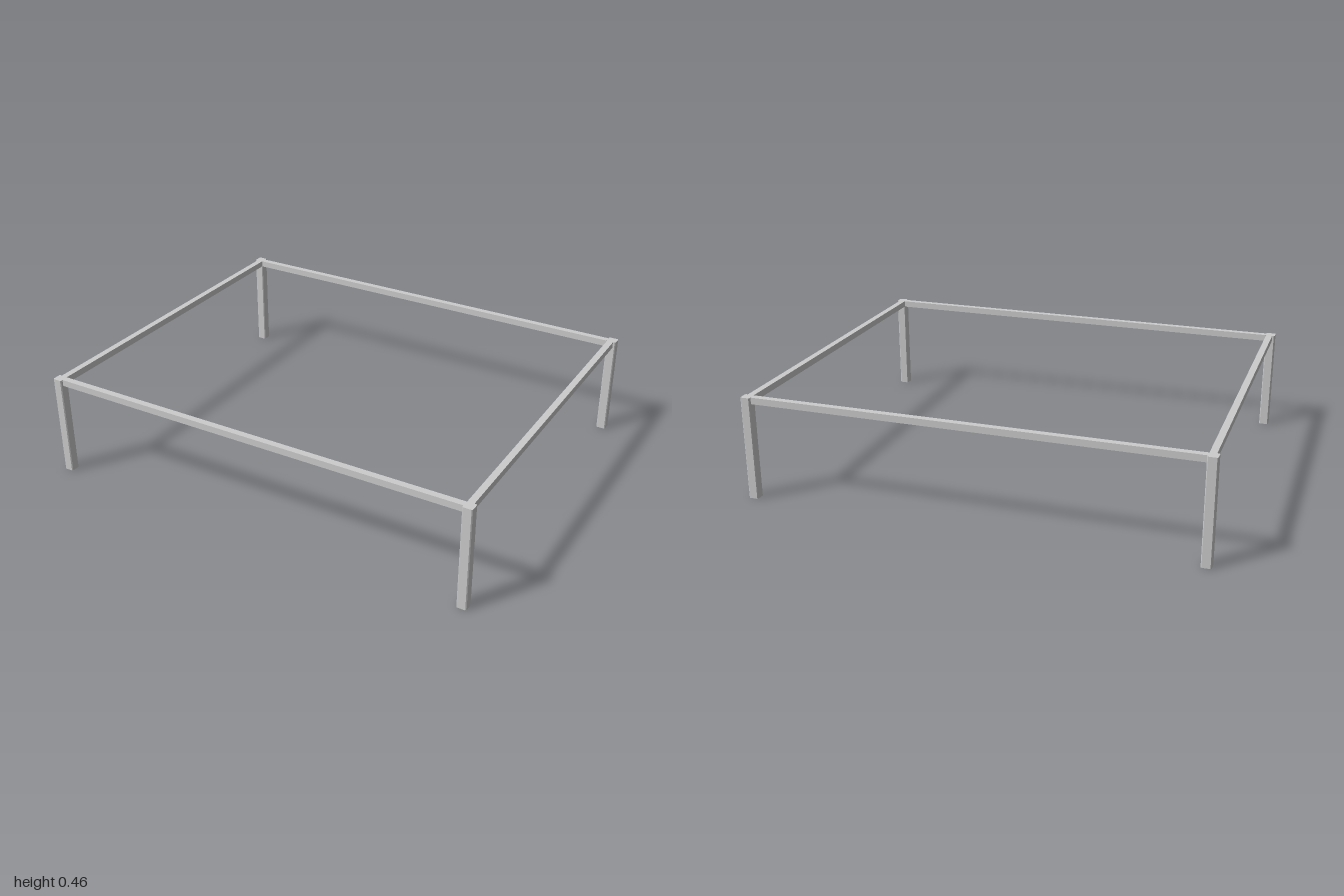
import * as THREE from 'three';

const HX = 1, HZ = 0.807, H = 0.46; // half width, half depth, height
const LEG = 0.043, WALL = 0.004, RAIL = 0.029;

// Square outline with slightly cut corners
function squarePath(Type, size, cut) {
  const h = size / 2, k = h - cut;
  return new Type([
    [k, -h], [h, -k], [h, k], [k, h], [-k, h], [-h, k], [-h, -k], [-k, -h],
  ].map(([x, y]) => new THREE.Vector2(x, y)));
}

export function createModel() {
  const group = new THREE.Group();
  const material = new THREE.MeshStandardMaterial({ color: 0xcccccc, flatShading: true });

  const add = (name, geometry, x, y, z) => {
    const mesh = new THREE.Mesh(geometry, material);
    mesh.name = name;
    mesh.position.set(x, y, z);
    group.add(mesh);
  };

  // Legs: square tubes, open at the foot and capped at the top
  const section = squarePath(THREE.Shape, LEG, 0.004);
  const cap = new THREE.ExtrudeGeometry(section.clone(), { depth: WALL, bevelEnabled: false });
  cap.rotateX(-Math.PI / 2);
  section.holes.push(squarePath(THREE.Path, LEG - 2 * WALL, 0.002));
  const tube = new THREE.ExtrudeGeometry(section, { depth: H - WALL, bevelEnabled: false });
  tube.rotateX(-Math.PI / 2);
  for (const sx of [-1, 1]) {
    for (const sz of [-1, 1]) {
      const x = sx * (HX - LEG / 2), z = sz * (HZ - LEG / 2);
      const name = (sz > 0 ? 'front' : 'back') + (sx > 0 ? 'Left' : 'Right');
      add(name + 'Leg', tube, x, 0, z);
      add(name + 'LegCap', cap, x, H - WALL, z);
    }
  }

  // Rails: slim square bars between the legs, level with their tops
  const y = H - RAIL / 2;
  const inX = HX - LEG, inZ = HZ - LEG;
  const longRail = new THREE.BoxGeometry(2 * inX, RAIL, RAIL);
  const sideRail = new THREE.BoxGeometry(RAIL, RAIL, 2 * inZ);
  for (const s of [-1, 1]) {
    add(s > 0 ? 'frontRail' : 'backRail', longRail, 0, y, s * (inZ + RAIL / 2 + 0.002));
    add(s > 0 ? 'leftRail' : 'rightRail', sideRail, s * (inX + RAIL / 2 + 0.002), y, 0);
  }
  return group;
}
